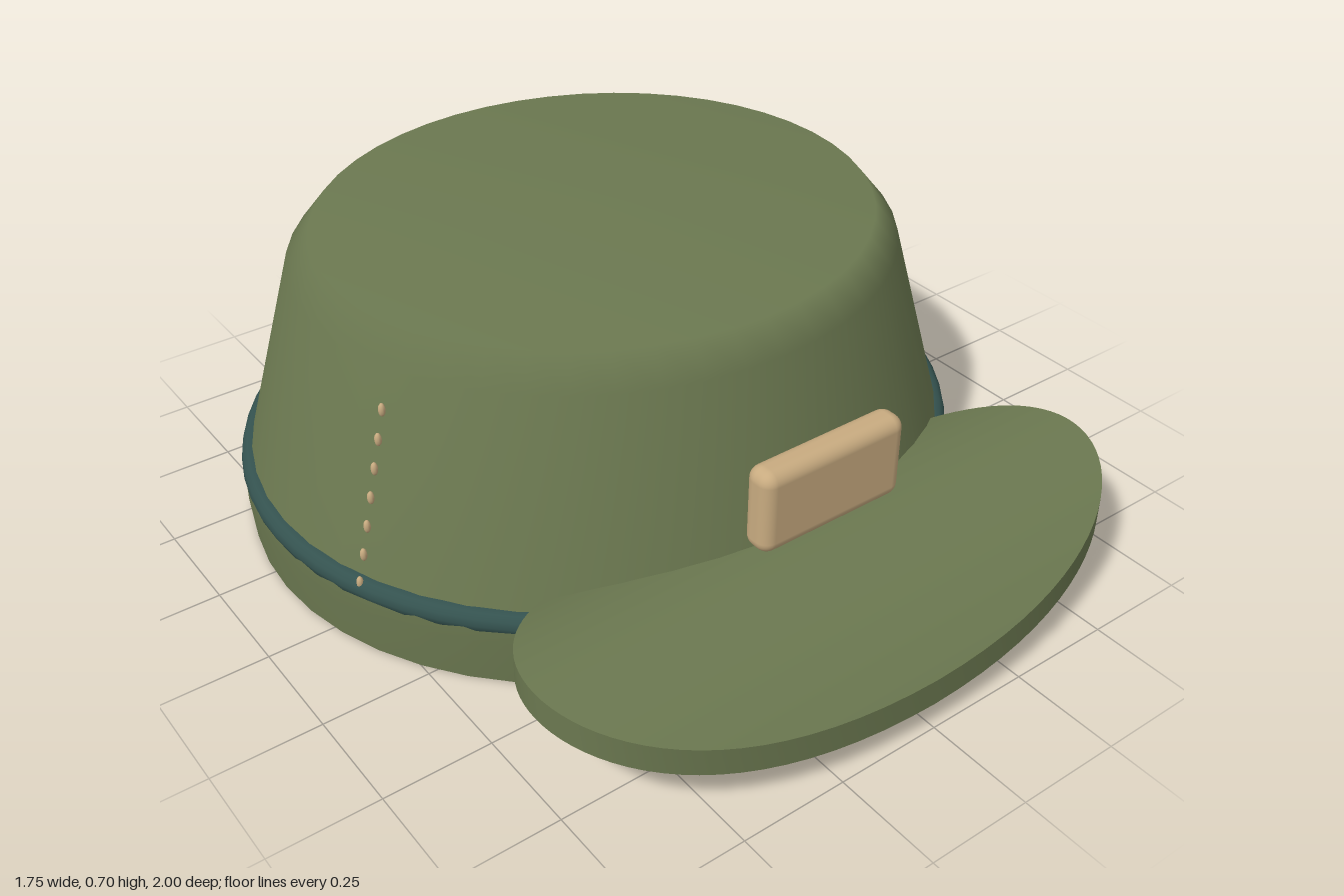
import * as THREE from 'three';
import { toCreasedNormals } from 'three/addons/utils/BufferGeometryUtils.js';
import { RoundedBoxGeometry } from 'three/addons/geometries/RoundedBoxGeometry.js';

const CENTER_Z = -0.185; // middle of the oval head opening
const OVAL = 0.932;      // depth to width ratio of the oval

const cloth = new THREE.MeshStandardMaterial({ color: 0x6b7850, side: THREE.DoubleSide });
const ribbon = new THREE.MeshStandardMaterial({ color: 0x34524f });
const tan = new THREE.MeshStandardMaterial({ color: 0xc8ab80 });

function addMesh(parent, name, geometry, material) {
  const mesh = new THREE.Mesh(geometry, material);
  mesh.name = name;
  parent.add(mesh);
  return mesh;
}

// Oval shell turned from a profile of [radius, height] points
function ovalShell(profile) {
  const points = profile.map(([r, y]) => new THREE.Vector2(r, y));
  return new THREE.LatheGeometry(points, 48).scale(1, 1, OVAL).translate(0, 0, CENTER_Z);
}

// Peak: plate with a curved outline, arched from back to front
function peakGeometry() {
  const edge = new THREE.CubicBezierCurve(
    new THREE.Vector2(0.56, 0.4), new THREE.Vector2(0.86, 0.56),
    new THREE.Vector2(0.88, 0.99), new THREE.Vector2(0, 0.995));
  const thickness = 0.065;
  const rows = 36;
  const positions = [];
  const index = [];
  for (let i = 0; i <= rows; i++) {
    const { x, y: z } = edge.getPoint(i / rows);
    const y = 0.2 - 1.06 * (z - 0.635) ** 2;
    positions.push(-x, y + thickness, z, x, y + thickness, z, x, y, z, -x, y, z);
  }
  for (let i = 0; i < rows; i++) {
    for (let j = 0; j < 4; j++) {
      const a = i * 4 + j, b = i * 4 + (j + 1) % 4;
      index.push(a, a + 4, b, b, a + 4, b + 4);
    }
  }
  index.push(0, 1, 2, 0, 2, 3); // straight back edge
  const geometry = new THREE.BufferGeometry();
  geometry.setAttribute('position', new THREE.Float32BufferAttribute(positions, 3));
  geometry.setIndex(index);
  return toCreasedNormals(geometry, 0.7);
}

export function createModel() {
  const cap = new THREE.Group();
  cap.name = 'cap';

  addMesh(cap, 'crown', ovalShell([[0.855, 0.155], [0.718, 0.635], [0.66, 0.705], [0, 0.705]]), cloth);
  addMesh(cap, 'band', ovalShell([[0.865, 0], [0.873, 0.11], [0.872, 0.155]]), cloth);

  // Piping between band and crown
  const piping = new THREE.TorusGeometry(0.845, 0.03, 12, 64).rotateX(Math.PI / 2)
    .scale(1, 1, OVAL).translate(0, 0.152, CENTER_Z);
  addMesh(cap, 'piping', piping, ribbon);

  addMesh(cap, 'peak', peakGeometry(), cloth);

  const badge = addMesh(cap, 'frontPlate', new RoundedBoxGeometry(0.38, 0.2, 0.075, 4, 0.03), tan);
  badge.position.set(0, 0.41, 0.63);

  // Row of stitches up each side
  const stitch = new THREE.SphereGeometry(0.008, 10, 8).scale(1, 2, 1);
  for (const side of [-1, 1]) {
    const row = new THREE.Group();
    row.name = side > 0 ? 'leftStitches' : 'rightStitches';
    for (let i = 0; i < 7; i++) {
      const t = i / 6;
      const mesh = addMesh(row, 'stitch', stitch, tan);
      mesh.position.set(side * (0.81 - 0.108 * t), 0.173 + 0.378 * t, 0.09 - 0.036 * t);
    }
    cap.add(row);
  }
  return cap;
}
